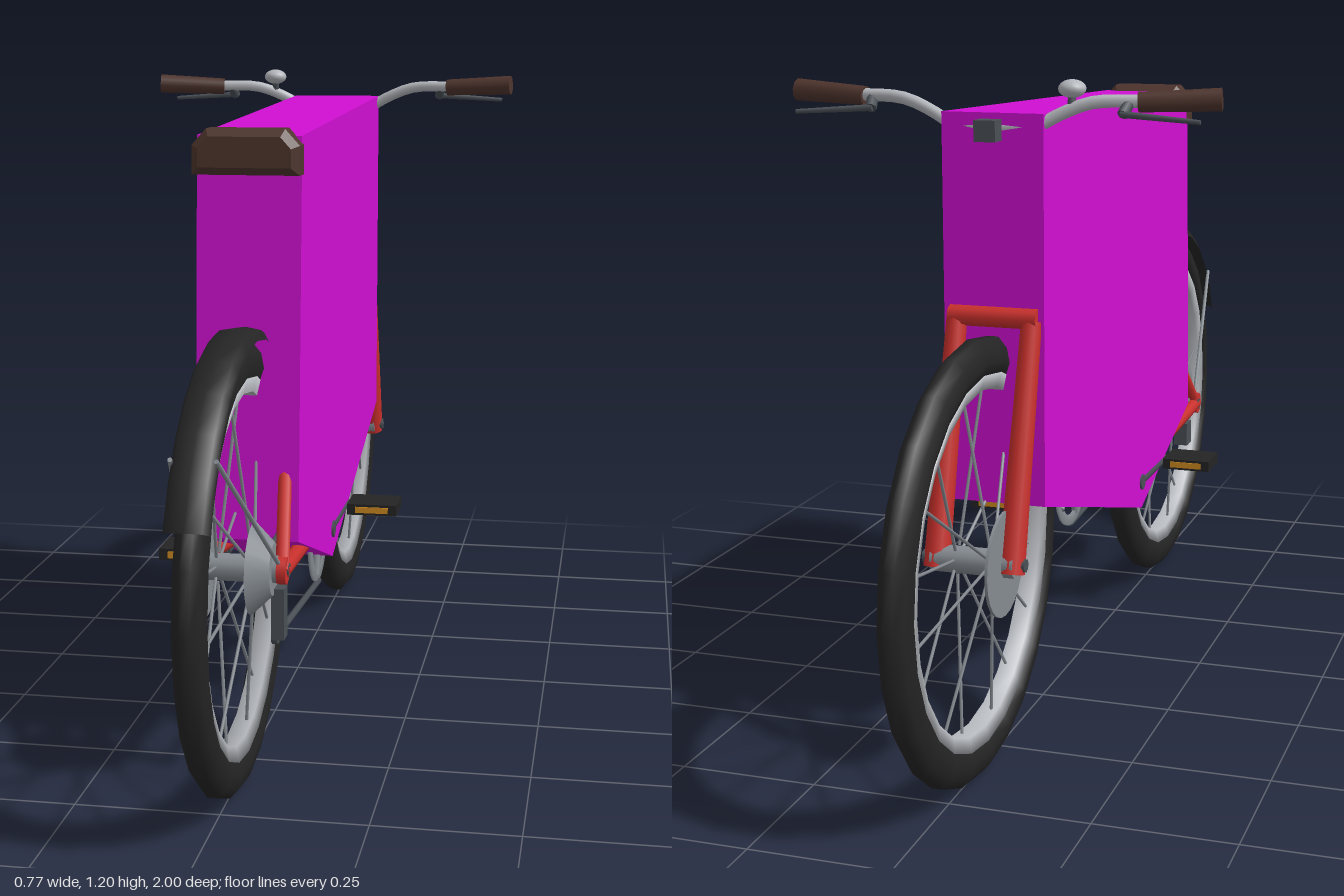
import * as THREE from 'three';

const mat = (name, color, side = THREE.FrontSide) =>
  Object.assign(new THREE.MeshStandardMaterial({ color, side }), { name });

export function createModel() {
  const M = {
    magenta: mat('magenta panel', 0xd00fd2),
    red: mat('red frame', 0xc9302c),
    black: mat('black rubber', 0x242424, THREE.DoubleSide),
    silver: mat('silver', 0xb4b7bc),
    steel: mat('steel', 0x858b91),
    dark: mat('dark metal', 0x4a5056),
    brown: mat('brown leather', 0x4e342d),
    orange: mat('orange reflector', 0xd08a20),
  };
  const bike = new THREE.Group();
  bike.name = 'bicycle';

  const add = (name, geo, m, parent = bike, pos = [0, 0, 0]) => {
    const mesh = new THREE.Mesh(geo, m);
    mesh.name = name;
    mesh.position.set(...pos);
    parent.add(mesh);
    return mesh;
  };
  const box = (name, size, pos, m, parent) => add(name, new THREE.BoxGeometry(...size), m, parent, pos);
  // Round bar from a to b
  const rod = (name, a, b, r, m, parent, r2 = r, sides = 8) => {
    const A = new THREE.Vector3(...a), B = new THREE.Vector3(...b);
    const mesh = add(name, new THREE.CylinderGeometry(r2, r, A.distanceTo(B), sides), m, parent);
    mesh.position.copy(A).lerp(B, 0.5);
    mesh.quaternion.setFromUnitVectors(new THREE.Vector3(0, 1, 0), B.sub(A).normalize());
    return mesh;
  };
  // Profile [radius, x] turned about the x axis; angle runs from +z upwards
  const turned = (pts, seg, start = 0, len = Math.PI * 2) =>
    new THREE.LatheGeometry(pts.map(p => new THREE.Vector2(...p)), seg, start, len).rotateZ(Math.PI / 2);

  // Body panel
  const side = new THREE.Shape([[0.477, 1.11], [0.513, 0.412], [0.128, 0.28], [-0.505, 0.463], [-0.505, 1.144]]
    .map(p => new THREE.Vector2(...p)));
  const body = new THREE.ExtrudeGeometry(side, { depth: 0.182, bevelEnabled: false });
  body.translate(0, 0, -0.091).rotateY(-Math.PI / 2);
  add('bodyPanel', body, M.magenta);

  // Saddle end with a bevelled face
  const pad = new THREE.Shape([[-0.08, 1.058], [0.08, 1.058], [0.08, 1.09], [0.062, 1.11], [-0.062, 1.11], [-0.08, 1.09]]
    .map(p => new THREE.Vector2(...p)));
  add('saddleEnd', new THREE.ExtrudeGeometry(pad,
    { depth: 0.04, bevelThickness: 0.015, bevelSize: 0.013, bevelSegments: 1 }), M.brown, bike, [0, 0, 0.47]);

  // Wheels
  const Y = 0.39, REAR = 0.611, FRONT = -0.613;
  for (const [name, z] of [['rearWheel', REAR], ['frontWheel', FRONT]]) {
    const wheel = new THREE.Group();
    wheel.name = name;
    wheel.position.set(0, Y, z);
    bike.add(wheel);
    add('tyre', turned([[0.322, -0.02], [0.345, -0.028], [0.37, -0.023], [0.386, -0.009], [0.386, 0.009],
      [0.37, 0.023], [0.345, 0.028], [0.322, 0.02], [0.322, -0.02]], 24), M.black, wheel);
    add('rim', turned([[0.3, -0.016], [0.326, -0.022], [0.326, 0.022], [0.3, 0.016], [0.3, -0.016]], 24), M.silver, wheel);
    for (let i = 0; i < 16; i++) {
      const t = (i + 0.5) * Math.PI / 8, s = i % 2 ? 1 : -1;
      rod('spoke', [s * 0.03, Math.sin(t) * 0.025, Math.cos(t) * 0.025],
        [s * 0.005, Math.sin(t) * 0.305, Math.cos(t) * 0.305], 0.003, M.steel, wheel, 0.003, 5);
    }
    rod('hub', [-0.075, 0, 0], [0.075, 0, 0], 0.024, M.steel, wheel, 0.024, 12);
    rod('axle', [-0.093, 0, 0], [0.093, 0, 0], 0.012, M.dark, wheel);
    rod('brakeDisc', [-0.056, 0, 0], [-0.051, 0, 0], 0.092, M.steel, wheel, 0.092, 24);
  }
  rod('cassette', [0.03, Y, REAR], [0.066, Y, REAR], 0.08, M.steel, bike, 0.045, 20);

  // Rear mudguard and stays
  add('mudguard', turned([[0.388, -0.037], [0.404, -0.028], [0.409, 0], [0.404, 0.028], [0.388, 0.037]],
    8, 0.4, 1.6), M.black, bike, [0, Y, REAR]);

  for (const s of [1, -1]) {
    rod('mudguardStay', [s * 0.08, Y, REAR], [s * 0.036, 0.645, 0.92], 0.004, M.steel);
    // Frame and fork
    rod('chainStay', [s * 0.082, Y, 0.62], [s * 0.06, 0.34, 0.14], 0.014, M.red);
    rod('seatStay', [s * 0.082, Y, 0.62], [s * 0.058, 0.58, 0.45], 0.012, M.red);
    rod('dropout', [s * 0.074, Y, 0.617], [s * 0.09, Y, 0.617], 0.024, M.red);
    rod('forkBlade', [s * 0.068, 0.375, -0.618], [s * 0.068, 0.79, -0.505], 0.023, M.red, bike, 0.018, 10);

    // Handlebar half, grip and brake lever
    const path = new THREE.CatmullRomCurve3([[0, 1.118, -0.497], [0.08, 1.125, -0.492], [0.115, 1.143, -0.487],
      [0.17, 1.163, -0.48], [0.255, 1.166, -0.467]].map(p => new THREE.Vector3(s * p[0], p[1], p[2])));
    add('handlebar', new THREE.TubeGeometry(path, 12, 0.011, 8), M.silver);
    rod('grip', [s * 0.245, 1.164, -0.468], [s * 0.382, 1.17, -0.446], 0.017, M.brown, bike, 0.02, 10);
    rod('leverClamp', [s * 0.23, 1.163, -0.472], [s * 0.225, 1.145, -0.493], 0.01, M.dark);
    rod('brakeLever', [s * 0.222, 1.146, -0.495], [s * 0.36, 1.137, -0.506], 0.006, M.dark, bike, 0.004);

    // Crank and pedal
    const z = s > 0 ? -0.068 : 0.321;
    rod('crank', [s * 0.082, 0.335, 0.128], [s * 0.082, 0.335, z], 0.012, M.dark);
    rod('pedalAxle', [s * 0.075, 0.335, z], [s * 0.11, 0.335, z], 0.008, M.dark);
    box('pedal', [0.1, 0.022, 0.086], [s * 0.146, 0.335, z], M.black);
    for (const e of [1, -1])
      box('pedalReflector', [0.066, 0.012, 0.004], [s * 0.146, 0.335, z + e * 0.044], M.orange);
  }
  rod('forkCrown', [-0.08, 0.795, -0.506], [0.08, 0.795, -0.506], 0.018, M.red);
  rod('bottomBracket', [-0.095, 0.335, 0.128], [0.095, 0.335, 0.128], 0.016, M.dark, bike, 0.016, 10);
  box('brakeCaliper', [0.03, 0.05, 0.04], [-0.07, 0.335, 0.55], M.dark);

  // Drivetrain: chainring, derailleur and chain
  add('chainring', turned([[0.083, -0.003], [0.104, -0.003], [0.104, 0.003], [0.083, 0.003], [0.083, -0.003]], 24),
    M.steel, bike, [0.062, 0.335, 0.128]);
  for (let i = 0; i < 5; i++) {
    const t = i * Math.PI * 0.4;
    rod('chainringArm', [0.062, 0.335, 0.128],
      [0.062, 0.335 + Math.sin(t) * 0.09, 0.128 + Math.cos(t) * 0.09], 0.008, M.steel);
  }
  box('derailleur', [0.022, 0.09, 0.032], [0.072, 0.31, 0.595], M.dark);
  rod('derailleurWheel', [0.06, 0.272, 0.59], [0.07, 0.272, 0.59], 0.02, M.dark, bike, 0.02, 10);
  rod('lowerChain', [0.064, 0.262, 0.59], [0.064, 0.23, 0.13], 0.006, M.dark);
  rod('upperChain', [0.06, 0.43, 0.6], [0.062, 0.438, 0.13], 0.005, M.dark);

  // Stem front and bell
  box('stemClamp', [0.038, 0.036, 0.034], [0, 1.116, -0.527], M.dark);
  rod('bellMount', [-0.133, 1.15, -0.484], [-0.133, 1.182, -0.478], 0.007, M.dark);
  add('bell', new THREE.SphereGeometry(0.024, 14, 10).scale(1, 0.65, 1), M.silver, bike, [-0.133, 1.185, -0.478]);

  return bike;
}
